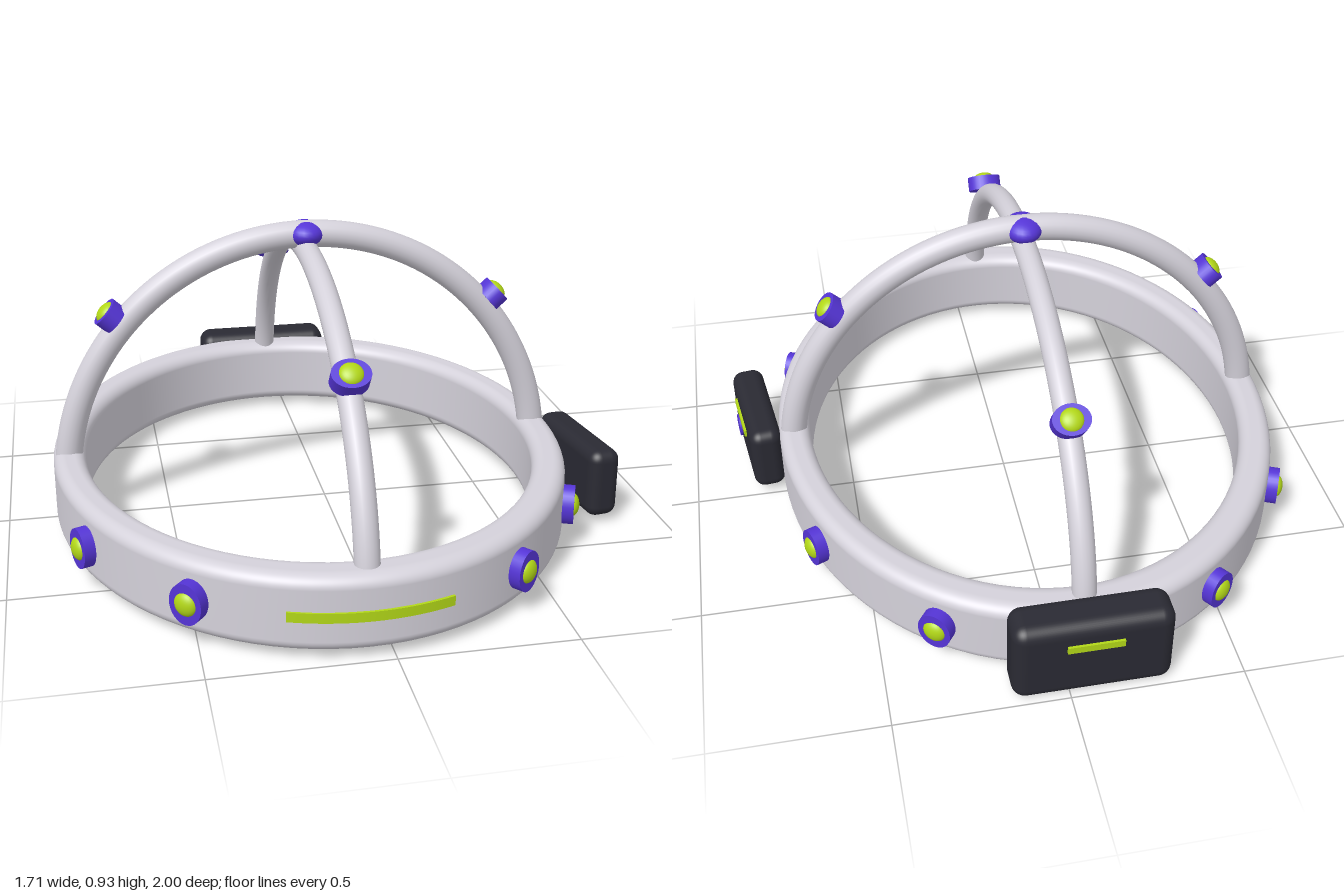
import * as THREE from 'three';
import { RoundedBoxGeometry } from 'three/addons/geometries/RoundedBoxGeometry.js';

const CX = -0.066, CZ = 0.039, MID = 0.137; // centre of the headband
const RX = 0.786, RZ = 0.953;               // outer half axes of the headband

export function createModel() {
  const model = new THREE.Group();
  model.name = 'sensorHeadset';
  const material = (name, color) => {
    const m = new THREE.MeshStandardMaterial({ color });
    m.name = name;
    return m;
  };
  const shell = material('pale grey shell', 0xd4d1da);
  const dark = material('charcoal housing', 0x2a2a33);
  const purple = material('violet sensor', 0x5535d6);
  const lime = material('lime light', 0xb2d718);

  function add(name, geometry, mat, parent = model, x = 0, y = 0, z = 0) {
    const mesh = new THREE.Mesh(geometry, mat);
    mesh.name = name;
    mesh.position.set(x, y, z);
    parent.add(mesh);
    return mesh;
  }

  // Headband: rounded section turned round, then stretched front to back
  const inner = 0.688, low = 0.027, high = 0.248, r = 0.036;
  const section = new THREE.Shape();
  section.moveTo(RX, MID);
  section.lineTo(RX, high - r);
  section.absarc(RX - r, high - r, r, 0, Math.PI / 2);
  section.absarc(inner + r, high - r, r, Math.PI / 2, Math.PI);
  section.absarc(inner + r, low + r, r, Math.PI, Math.PI * 1.5);
  section.absarc(RX - r, low + r, r, Math.PI * 1.5, Math.PI * 2);
  section.lineTo(RX, MID);
  const band = new THREE.LatheGeometry(section.getPoints(8), 96);
  band.scale(1, 1, RZ / RX);
  add('headband', band, shell, model, CX, 0, CZ);

  // Arches over the head
  function arch(name, half, height, radius, alongZ) {
    const points = [];
    for (let i = 0; i <= 32; i++) {
      const a = Math.PI * i / 32, u = half * Math.cos(a), y = height * Math.sin(a);
      points.push(new THREE.Vector3(alongZ ? 0 : u, y, alongZ ? u : 0));
    }
    const tube = new THREE.TubeGeometry(new THREE.CatmullRomCurve3(points), 80, radius, 20);
    add(name, tube, shell, model, CX, 0.14, CZ);
  }
  arch('sideArch', 0.743, 0.751, 0.041, false);
  arch('lengthArch', 0.89, 0.705, 0.035, true);

  // Sensor: violet disc with a lime dome, facing along a normal
  const disc = new THREE.CylinderGeometry(1, 1, 0.046, 32);
  const dome = new THREE.SphereGeometry(1, 24, 16);
  function sensor(name, position, normal, tangent, along, across) {
    const group = new THREE.Group();
    group.name = name;
    const n = normal.normalize(), t = tangent.normalize();
    const basis = new THREE.Matrix4().makeBasis(t, n, t.clone().cross(n));
    group.quaternion.setFromRotationMatrix(basis);
    group.position.copy(position).addScaledVector(n, 0.01);
    add('sensorDisc', disc, purple, group).scale.set(along, 1, across);
    add('sensorLight', dome, lime, group, 0, 0.017, 0).scale.set(0.035, 0.021, 0.035);
    model.add(group);
  }

  // Sensors round the headband
  for (const degrees of [27, 55.5, -27.5, -59.5]) {
    for (const side of [1, -1]) {
      const a = THREE.MathUtils.degToRad(degrees), c = Math.cos(a) * side, s = Math.sin(a);
      const n = new THREE.Vector3(c / RX, 0, s / RZ);
      sensor('bandSensor', new THREE.Vector3(CX + RX * c, MID, CZ + RZ * s), n,
        new THREE.Vector3(-n.z, 0, n.x), 0.05, 0.06);
    }
  }

  // Sensors on the arches
  for (const side of [1, -1]) {
    const a = THREE.MathUtils.degToRad(41.8), c = Math.cos(a) * side, s = Math.sin(a);
    sensor('sideArchSensor', new THREE.Vector3(CX + 0.783 * c, 0.14 + 0.783 * s, CZ),
      new THREE.Vector3(c, s, 0), new THREE.Vector3(-s, c, 0), 0.045, 0.055);
    const n = new THREE.Vector3(0, 1 / 0.705, side / 0.89).normalize();
    const p = new THREE.Vector3(CX, 0.14 + 0.705 * Math.SQRT1_2, CZ + side * 0.89 * Math.SQRT1_2);
    sensor('lengthArchSensor', p.addScaledVector(n, 0.036), n,
      new THREE.Vector3(0, -n.z, n.y), 0.045, 0.055);
  }

  // Crown joint
  add('crownSensor', dome, purple, model, CX, 0.893, CZ - 0.003).scale.set(0.058, 0.038, 0.069);

  // Front light strip, bent along the headband
  const strip = new THREE.BoxGeometry(1, 0.028, 1, 24, 1, 1);
  const pos = strip.attributes.position;
  for (let i = 0; i < pos.count; i++) {
    const a = pos.getX(i) * 0.572, out = pos.getZ(i) * 0.008 + 0.003;
    pos.setX(i, Math.sin(a) * (RX + out));
    pos.setZ(i, Math.cos(a) * (RZ + out));
  }
  strip.computeVertexNormals();
  add('frontLight', strip, lime, model, CX + 0.004, 0.137, CZ);

  // Rear housing
  add('rearHousing', new RoundedBoxGeometry(0.457, 0.262, 0.13, 5, 0.04), dark,
    model, CX, 0.136, -0.925);
  add('rearLight', new THREE.BoxGeometry(0.16, 0.022, 0.009), lime, model, CX, 0.193, -0.993);

  // Side housing, turned slightly to follow the headband
  const pod = new THREE.Group();
  pod.name = 'sideModule';
  pod.position.set(0.785, 0.135, 0.187);
  pod.rotation.y = 0.13;
  model.add(pod);
  add('sideHousing', new RoundedBoxGeometry(0.1, 0.218, 0.38, 5, 0.035), dark, pod);
  add('sideLight', new THREE.BoxGeometry(0.009, 0.022, 0.178), lime, pod, 0.053, 0.053, 0);
  const button = add('sideButton', new THREE.CylinderGeometry(0.036, 0.036, 0.009, 24), purple,
    pod, 0.053, -0.037, 0.075);
  button.rotation.z = -Math.PI / 2;

  return model;
}
